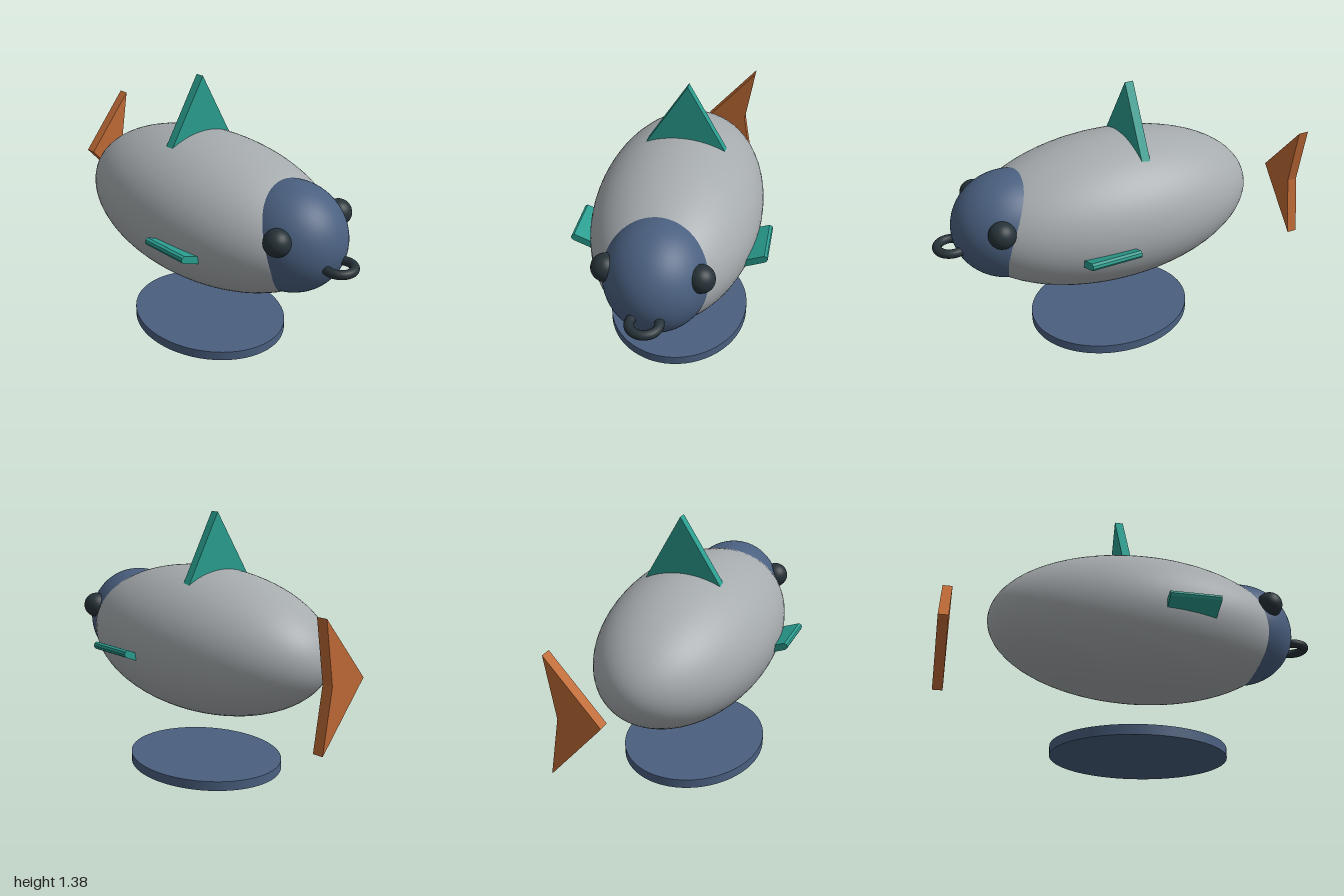
import * as THREE from 'three';

const material = (name, color) => {
  const m = new THREE.MeshStandardMaterial({ color });
  m.name = name;
  return m;
};

export function createModel() {
  const model = new THREE.Group();
  const grey = material('body grey', 0xa6abae);
  const blue = material('slate blue', 0x4a6080);
  const teal = material('fin teal', 0x2a9d8f);
  const orange = material('tail orange', 0xbf6a35);
  const dark = material('eye dark', 0x263238);

  const add = (name, geometry, mat, x = 0, y = 0, z = 0) => {
    const mesh = new THREE.Mesh(geometry, mat);
    mesh.name = name;
    mesh.position.set(x, y, z);
    model.add(mesh);
    return mesh;
  };

  const ellipsoid = (rx, ry, rz) =>
    new THREE.SphereGeometry(1, 64, 40).scale(rx, ry, rz);

  // Flat outline in x and y, given thickness along z
  const plate = (points, depth) =>
    new THREE.ExtrudeGeometry(
      new THREE.Shape(points.map(([x, y]) => new THREE.Vector2(x, y))),
      { depth, bevelEnabled: false }
    );

  // Body and head
  add('body', ellipsoid(0.435, 0.385, 0.79), grey, 0, 0.702, 0.04);
  add('head', ellipsoid(0.263, 0.279, 0.295), blue, 0, 0.73, 0.6);

  // Ring-shaped mouth
  const mouth = new THREE.TorusGeometry(0.07, 0.023, 16, 48).rotateX(Math.PI / 2);
  add('mouth', mouth, dark, 0, 0.675, 0.906);

  // Dorsal fin, its base sunk into the back
  add('dorsalFin', plate([[-0.23, 0.98], [0.25, 0.98], [0.027, 1.38]], 0.045), teal, 0, 0, -0.078);

  // Tail fin: a notched chevron
  add('tailFin', plate([[0, 0.7], [0.272, 0.39], [0.22, 0.7], [0.272, 1.01]], 0.055), orange, 0, 0, -1);

  // Eyes and side fins, mirrored
  const finProfile = [
    [0.3, 0.588], [0.485, 0.665], [0.495, 0.672], [0.5, 0.684],
    [0.495, 0.697], [0.482, 0.704], [0.3, 0.63],
  ];
  for (const side of [1, -1]) {
    const label = side > 0 ? 'left' : 'right';
    add(label + 'Eye', new THREE.SphereGeometry(0.068, 32, 20), dark, side * 0.225, 0.814, 0.71);
    const outline = finProfile.map(([x, y]) => [side * x, y]);
    add(label + 'SideFin', plate(outline, 0.26), teal, 0, 0, 0.102);
  }

  // Oval base
  add('base', new THREE.CylinderGeometry(1, 1, 0.05, 64).scale(0.38, 1, 0.445), blue, 0, 0.025, 0.045);

  return model;
}
